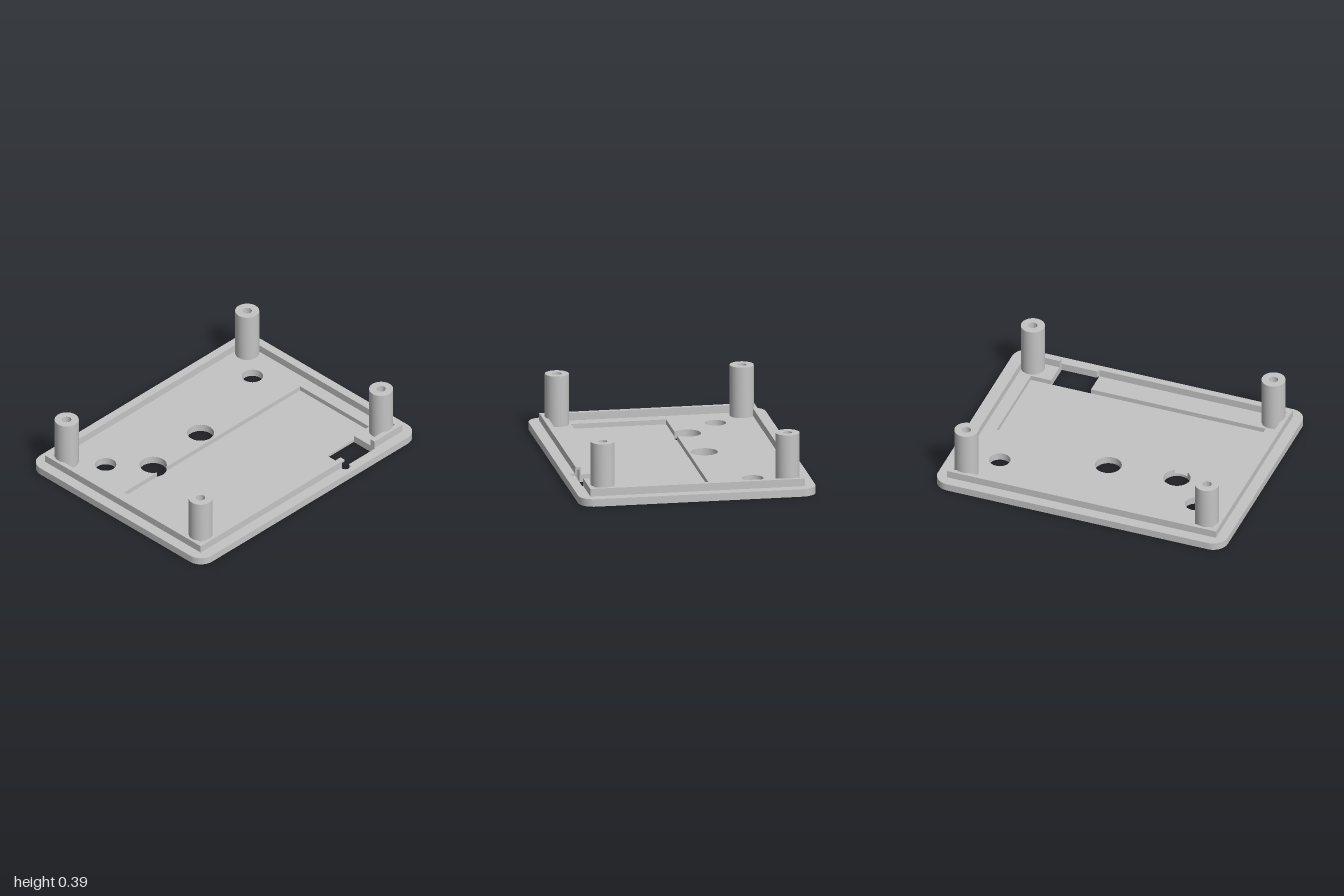
import * as THREE from 'three';
import { toCreasedNormals } from 'three/addons/utils/BufferGeometryUtils.js';

const grey = new THREE.MeshStandardMaterial({ color: 0xc4c4c4 });
grey.name = 'grey plastic';

// Heights of the layers
const GROOVE = 0.01, POCKET = 0.018, FLOOR = 0.05, NOTCH = 0.085, RIM = 0.1, POST = 0.388;

// Points are [x, z], turned counter-clockwise so that all walls face outwards
function toVectors(pts) {
  const v = pts.map(([x, z]) => new THREE.Vector2(x, -z));
  return THREE.ShapeUtils.isClockWise(v) ? v.reverse() : v;
}

// Flat sheet with holes between two heights
function sheet(name, outline, holes, y0, y1) {
  const shape = new THREE.Shape(toVectors(outline));
  shape.holes = holes.map((h) => new THREE.Path(toVectors(h).reverse()));
  const geo = new THREE.ExtrudeGeometry(shape, { depth: y1 - y0, bevelEnabled: false });
  geo.rotateX(-Math.PI / 2);
  geo.translate(0, y0, 0);
  const mesh = new THREE.Mesh(toCreasedNormals(geo, 0.5), grey);
  mesh.name = name;
  return mesh;
}

function arc(cx, cz, r, a0, a1, n) {
  return Array.from({ length: n + 1 }, (_, i) => {
    const a = a0 + ((a1 - a0) * i) / n;
    return [cx + r * Math.cos(a), cz + r * Math.sin(a)];
  });
}
const circle = (cx, cz, r) => arc(cx, cz, r, 0, Math.PI * 2, 40).slice(0, -1);
const rect = (x0, x1, z0, z1) => [[x0, z0], [x1, z0], [x1, z1], [x0, z1]];

function roundedRect(hx, hz, r) {
  const pts = [];
  [[1, 1], [-1, 1], [-1, -1], [1, -1]].forEach(([sx, sz], i) => {
    pts.push(...arc(sx * (hx - r), sz * (hz - r), r, (i * Math.PI) / 2, ((i + 1) * Math.PI) / 2, 10));
  });
  return pts;
}

// Engraved sine wave as a closed band of constant width
function waveBand(halfWidth) {
  const k = (Math.PI * 2) / 0.9, a = 0.2, n = 96;
  const upper = [], lower = [];
  for (let i = 0; i <= n; i++) {
    const x = 0.9 - (1.8 * i) / n;
    const z = -0.41 - a * Math.sin(k * (0.9 - x));
    const slope = a * k * Math.cos(k * (0.9 - x));
    const len = Math.hypot(1, slope);
    const ox = (-slope / len) * halfWidth, oz = halfWidth / len;
    upper.push([x + ox, z + oz]);
    lower.push([x - ox, z - oz]);
  }
  return [...upper, ...lower.reverse()];
}

export function createModel() {
  const group = new THREE.Group();
  group.name = 'enclosureLid';

  const plate = roundedRect(1, 0.777, 0.1);
  const smallHoles = [-0.675, 0.675].map((x) => circle(x, -0.407, 0.069));
  const middleHole = circle(0, -0.212, 0.087);
  const sideHole = circle(-0.463, -0.185, 0.088);

  // Front opening with a round cable notch at its corner
  const notchEnd = Math.PI * 1.5;
  const opening = [
    [0.395, 0.515], [0.67, 0.515], [0.67, 0.71],
    ...arc(0.395, 0.71, 0.032, 0, notchEnd, 24),
  ];

  // Axis line engraved between the wave crossings and the small holes
  const axis = [];
  for (const s of [-1, 1]) {
    for (const [a, b] of [[0.02, 0.43], [0.47, 0.6], [0.75, 0.86]]) {
      axis.push(rect(s * a, s * b, -0.414, -0.406));
    }
  }

  // Plate: engraved underside, pocket floor, then the floor around the pocket
  const through = [...smallHoles, middleHole, opening];
  group.add(sheet('engravedUnderside', plate, [...through, sideHole, waveBand(0.008), ...axis], 0, GROOVE));
  group.add(sheet('pocketFloor', plate, [...through, sideHole], GROOVE, POCKET));
  const cross = Math.asin(0.077 / 0.088);
  const pocket = [
    [-0.81, -0.108],
    ...arc(-0.463, -0.185, 0.088, Math.PI - cross, Math.PI * 2 + cross, 36),
    [0.81, -0.108], [0.81, 0.515],
    ...opening.slice(1),
    [0.395, 0.515], [-0.81, 0.515],
  ];
  group.add(sheet('basePlate', plate, [...smallHoles, middleHole, pocket], POCKET, FLOOR));

  // Raised rim, open at the front; the notch cuts only its lower part
  const rim = (end) => [
    [0.67, 0.703], [0.928, 0.703], [0.928, -0.705], [-0.928, -0.705], [-0.928, 0.703],
    ...end,
    [0.395, 0.667], [-0.895, 0.667], [-0.895, -0.675], [0.895, -0.675], [0.895, 0.667], [0.67, 0.667],
  ];
  const notch = arc(0.395, 0.71, 0.032, Math.PI + Math.asin(0.007 / 0.032), notchEnd, 12);
  group.add(sheet('rimLower', rim(notch), [], FLOOR, NOTCH));
  group.add(sheet('rimUpper', rim([[0.395, 0.703]]), [], NOTCH, RIM));

  // Four hollow screw posts
  for (const x of [-0.83, 0.83]) {
    for (const z of [-0.607, 0.605]) {
      group.add(sheet('screwPost', circle(x, z, 0.078), [circle(x, z, 0.03)], FLOOR, POST));
    }
  }
  return group;
}
